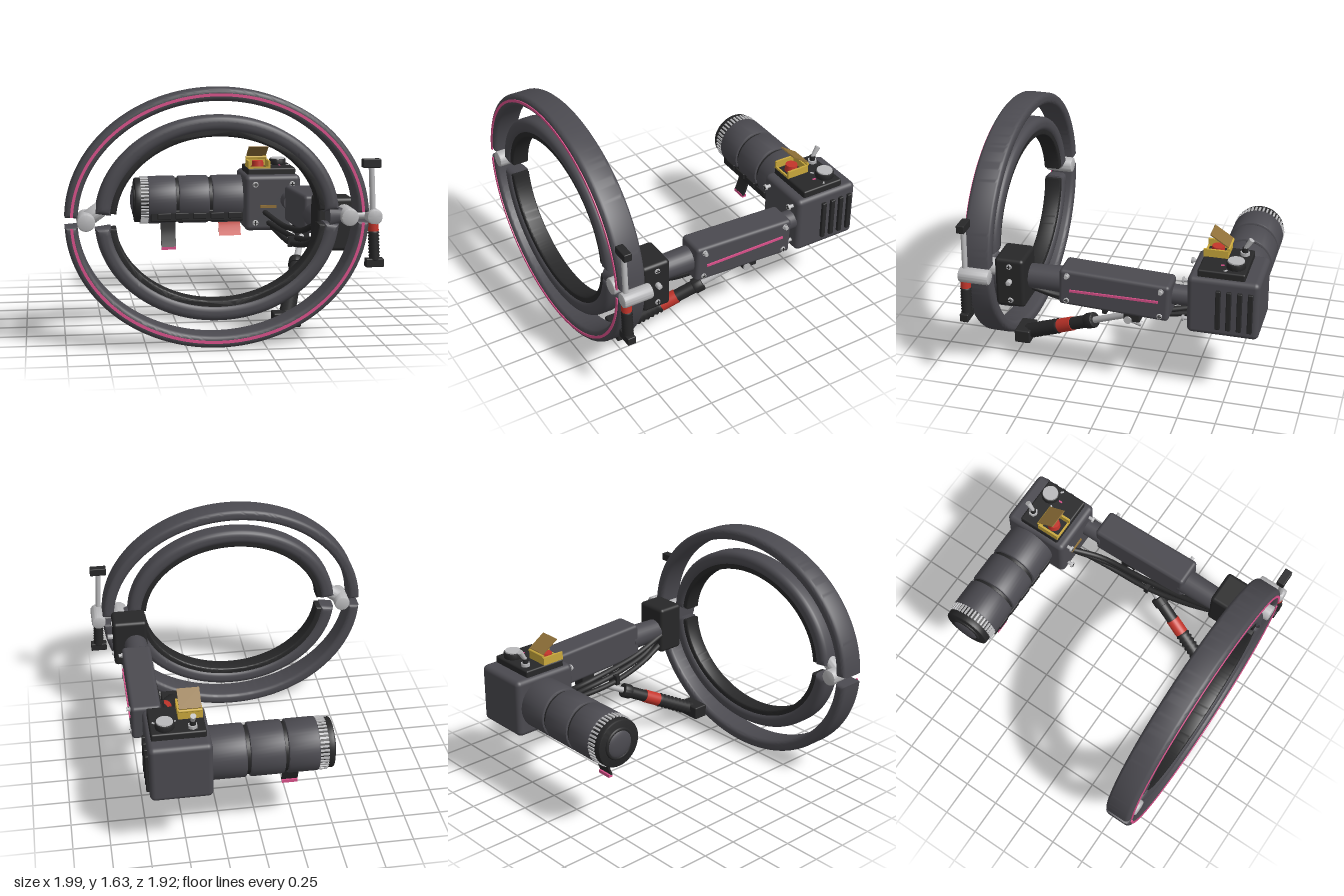
import * as THREE from 'three';
import { toCreasedNormals } from 'three/addons/utils/BufferGeometryUtils.js';
import { RoundedBoxGeometry } from 'three/addons/geometries/RoundedBoxGeometry.js';

const paint = (name, color) => {
  const m = new THREE.MeshStandardMaterial({ color });
  m.name = name;
  return m;
};
const V = (x, y, z) => new THREE.Vector3(x, y, z);

export function createModel() {
  const root = new THREE.Group();
  root.name = 'ringSteeringControl';
  const body = paint('bodyGrey', 0x4b4a50), black = paint('black', 0x272728), metal = paint('metal', 0xb9b9bb);
  const pink = paint('pink', 0xd9508a), red = paint('red', 0xc4352b), yellow = paint('yellow', 0xc9a83c);
  const brass = paint('brass', 0x8f7038);

  const add = (name, geo, mat, pos = V(0, 0, 0), parent = root) => {
    const m = new THREE.Mesh(geo, mat);
    m.name = name;
    m.position.copy(pos);
    parent.add(m);
    return m;
  };
  // Box given by its limits, optionally with rounded edges
  const box = (name, mat, [x0, x1], [y0, y1], [z0, z1], r = 0, parent = root) => {
    const s = [x1 - x0, y1 - y0, z1 - z0];
    const geo = r ? new RoundedBoxGeometry(...s, 4, r) : new THREE.BoxGeometry(...s);
    return add(name, geo, mat, V((x0 + x1) / 2, (y0 + y1) / 2, (z0 + z1) / 2), parent);
  };
  // Aim a mesh built along y from point a towards point b
  const aim = (mesh, a, b) => {
    mesh.position.copy(a).lerp(b, 0.5);
    mesh.quaternion.setFromUnitVectors(V(0, 1, 0), b.clone().sub(a).normalize());
    return mesh;
  };
  const rod = (name, mat, a, b, r0, r1 = r0, parent = root, n = 28) =>
    aim(add(name, new THREE.CylinderGeometry(r1, r0, a.distanceTo(b), n), mat, V(0, 0, 0), parent), a, b);
  // Rod with rounded rims
  const drum = (name, mat, a, b, r, e = 0.012, parent = root) => {
    const h = a.distanceTo(b) / 2;
    const pts = [[0, -h], [r - e, -h], [r - e * 0.3, -h + e * 0.3], [r, -h + e],
      [r, h - e], [r - e * 0.3, h - e * 0.3], [r - e, h], [0, h]].map(p => new THREE.Vector2(...p));
    return aim(add(name, toCreasedNormals(new THREE.LatheGeometry(pts, 48), 0.6), mat, V(0, 0, 0), parent), a, b);
  };
  // Small cross-head screw facing along dir
  const screw = (p, dir, r = 0.02, parent = root) => {
    const g = new THREE.Group();
    g.name = 'screw';
    g.position.copy(p);
    g.quaternion.setFromUnitVectors(V(0, 0, 1), dir);
    parent.add(g);
    rod('screwHead', metal, V(0, 0, -0.005), V(0, 0, 0.008), r, r * 0.85, g, 14);
    box('screwSlot', black, [-r * 0.7, r * 0.7], [-0.003, 0.003], [0.006, 0.0095], 0, g);
    box('screwSlot', black, [-0.003, 0.003], [-r * 0.7, r * 0.7], [0.006, 0.0095], 0, g);
  };

  // Half of an elliptical ring; gap is the half height left open at each side
  const cx = -0.05, cy = 0.83;
  const halfRing = (name, mat, rx, ry, t, z0, z1, bevel, gap, side) => {
    const a = Math.asin(gap / ry), b = bevel;
    const s = new THREE.Shape();
    s.absellipse(0, 0, rx - b, ry - b, a, Math.PI - a, false, 0);
    s.absellipse(0, 0, rx - t + b, ry - t + b, Math.PI - a, a, true, 0);
    s.closePath();
    let geo = new THREE.ExtrudeGeometry(s, { depth: z1 - z0 - 2 * b, bevelEnabled: b > 0,
      bevelSize: b, bevelThickness: b, bevelSegments: 5, curveSegments: 72 });
    geo = toCreasedNormals(geo, 0.7);
    const m = add(name, geo, mat, V(cx, cy, z0 + b));
    if (side < 0) {
      m.rotation.x = Math.PI;
      m.position.z = z1 - b;
    }
  };
  for (const side of [1, -1]) {
    halfRing('outerRing', body, 0.95, 0.815, 0.08, 0.765, 0.95, 0.03, 0.06, side);
    halfRing('ringStripe', pink, 0.918, 0.783, 0.018, 0.948, 0.956, 0, 0.035, side);
    halfRing('innerRing', body, 0.765, 0.645, 0.1, 0.785, 0.935, 0.04, 0.085, side);
    halfRing('innerRingLiner', black, 0.69, 0.57, 0.055, 0.80, 0.92, 0.012, 0.06, side);
  }

  // Ring hinges
  drum('leftHinge', metal, V(-0.87, 0.83, 0.755), V(-0.87, 0.83, 0.955), 0.056);
  drum('leftHingeArm', metal, V(-0.86, 0.84, 0.86), V(-0.77, 0.905, 0.86), 0.05);
  drum('rightHinge', metal, V(0.775, 0.83, 0.755), V(0.775, 0.83, 0.955), 0.056);
  rod('rightHingeArm', body, V(0.65, 0.83, 0.86), V(0.76, 0.83, 0.86), 0.08, 0.04);
  rod('sideHingeArm', metal, V(0.78, 0.83, 0.86), V(0.92, 0.83, 0.86), 0.025);
  drum('sideHinge', metal, V(0.932, 0.83, 0.755), V(0.932, 0.83, 0.96), 0.05);

  // Telescopic strut: ribbed boot, red band, collar and rod, placed by fractions
  const strut = (name, p0, p1, r, bootEnd, redEnd, collarEnd, rodR) => {
    const g = new THREE.Group();
    g.name = name;
    root.add(g);
    const at = f => p0.clone().lerp(p1, f), L = p0.distanceTo(p1) * bootEnd, pts = [];
    for (let i = 0; i <= 18; i++) pts.push(new THREE.Vector2(r * (i % 2 ? 1.12 : 0.9), -L / 2 + L * i / 18));
    aim(add('ribbedBoot', new THREE.LatheGeometry(pts, 28), black, V(0, 0, 0), g), at(0), at(bootEnd));
    rod('redBand', red, at(bootEnd), at(redEnd), r * 1.02, r * 1.02, g);
    if (collarEnd > redEnd) {
      rod('sleeve', black, at(redEnd), at(collarEnd), r * 0.92, r * 0.92, g);
      drum('collar', black, at(collarEnd - 0.07), at(collarEnd), r * 1.12, 0.006, g);
    }
    rod('slidingRod', metal, at(redEnd), at(1), rodR, rodR, g);
  };
  strut('supportStrut', V(0.42, 0.14, 0.70), V(0.67, 0.54, -0.10), 0.047, 0.33, 0.46, 0.67, 0.022);
  box('strutFoot', black, [0.325, 0.505], [0.09, 0.185], [0.66, 0.77], 0.01);
  box('strutBracket', black, [0.62, 0.72], [0.51, 0.61], [-0.18, -0.07], 0.01);
  rod('strutPin', metal, V(0.61, 0.525, -0.10), V(0.73, 0.525, -0.10), 0.026);
  rod('bracketLever', metal, V(0.67, 0.51, -0.10), V(0.67, 0.475, -0.18), 0.025, 0.018);
  strut('sideStrut', V(0.939, 0.55, 0.925), V(0.910, 1.16, 0.925), 0.033, 0.31, 0.4, 0, 0.018);
  box('sideStrutTop', black, [0.852, 0.968], [1.14, 1.195], [0.898, 0.952], 0.006);
  box('sideStrutBottom', black, [0.88, 0.995], [0.51, 0.565], [0.898, 0.955], 0.006);

  // Mounting block behind the ring
  box('mountBlock', black, [0.6, 0.842], [0.58, 0.925], [0.56, 0.757], 0.025);
  for (const y of [0.63, 0.875]) screw(V(0.842, y, 0.655), V(1, 0, 0));
  drum('blockKnob', metal, V(0.84, 0.77, 0.655), V(0.88, 0.77, 0.655), 0.018, 0.005);

  // Arm, tilted up towards the ring
  rod('frontNeck', body, V(0.685, 0.745, 0.58), V(0.685, 0.745, 0.3), 0.08, 0.088);
  rod('rearNeck', body, V(0.655, 0.725, -0.35), V(0.655, 0.725, -0.52), 0.066);
  const arm = new THREE.Group();
  arm.name = 'arm';
  arm.position.set(0.7, 0.735, -0.025);
  root.add(arm);
  arm.rotation.x = -0.045;
  box('armHousing', body, [-0.1, 0.1], [-0.127, 0.127], [-0.365, 0.365], 0.025, arm);
  for (const y of [-0.09, 0.09]) for (const z of [-0.31, 0.31]) screw(V(0.1, y, z), V(1, 0, 0), 0.02, arm);
  for (const z of [-0.31, 0.31]) rod('armKnob', metal, V(0.1, 0.09, z), V(0.125, 0.09, z), 0.013, 0.013, arm);
  box('armStripe', pink, [0.795, 0.808], [0.726, 0.742], [-0.32, 0.265]);

  // Cables slung under the arm
  const cables = [
    [V(0.68, 0.66, 0.57), V(0.64, 0.6, 0.42), V(0.6, 0.55, 0.1), V(0.58, 0.53, -0.2), V(0.5, 0.56, -0.51)],
    [V(0.64, 0.63, 0.57), V(0.61, 0.56, 0.38), V(0.57, 0.51, 0.08), V(0.56, 0.5, -0.22), V(0.53, 0.53, -0.51)],
    [V(0.62, 0.72, 0.57), V(0.6, 0.64, 0.3), V(0.58, 0.6, 0), V(0.56, 0.58, -0.3), V(0.47, 0.64, -0.51)]];
  for (const c of cables) add('cable', new THREE.TubeGeometry(new THREE.CatmullRomCurve3(c), 40, 0.02, 10), black);
  box('cableClip', black, [0.54, 0.63], [0.49, 0.56], [0.07, 0.1]);

  // Motor housing with side vents
  box('motorHousing', body, [0.33, 0.737], [0.5, 0.907], [-0.957, -0.49], 0.035);
  for (let i = 0; i < 4; i++) {
    const z = -0.695 - i * 0.069;
    box('vent', black, [0.72, 0.758], [0.56, 0.838], [z - 0.016, z + 0.016], 0.006);
  }
  for (const x of [0.4, 0.67]) for (const y of [0.565, 0.845]) {
    rod('motorScrewStem', metal, V(x, y, -0.5), V(x, y, -0.455), 0.012);
    screw(V(x, y, -0.455), V(0, 0, 1), 0.022);
  }
  box('brassPlate', brass, [0.44, 0.56], [0.67, 0.69], [-0.495, -0.48]);

  // Control console
  box('console', black, [0.357, 0.71], [0.89, 0.953], [-0.857, -0.55], 0.012);
  for (const x of [[0.362, 0.377], [0.508, 0.523]]) box('guardSide', yellow, x, [0.95, 1.005], [-0.71, -0.55]);
  for (const z of [[-0.71, -0.695], [-0.562, -0.55]]) box('guardEnd', yellow, [0.362, 0.523], [0.95, z[0] < -0.6 ? 1.005 : 0.965], z);
  rod('redButton', red, V(0.442, 0.95, -0.63), V(0.442, 1.0, -0.63), 0.045, 0.04);
  const lid = box('guardLid', brass, [0.37, 0.515], [1.064, 1.072], [-0.722, -0.578]);
  lid.rotation.x = -0.58;
  rod('lidHinge', yellow, V(0.365, 1.015, -0.71), V(0.52, 1.015, -0.71), 0.01);
  drum('dial', black, V(0.615, 0.95, -0.78), V(0.615, 0.995, -0.78), 0.062, 0.006);
  rod('dialCap', metal, V(0.615, 0.99, -0.78), V(0.615, 1.003, -0.78), 0.056, 0.053);
  for (const a of [-0.9, 0, 0.9]) {
    const tick = box('dialTick', a ? metal : pink, [-0.006, 0.006], [0.95, 0.957], [-0.012, 0.012]);
    tick.position.set(0.615 + Math.sin(a) * 0.085, 0.953, -0.78 + Math.cos(a) * 0.085);
    tick.rotation.y = a;
  }
  rod('switchNut', metal, V(0.44, 0.95, -0.805), V(0.44, 0.975, -0.805), 0.032, 0.032, root, 6);
  rod('switchCollar', black, V(0.44, 0.97, -0.805), V(0.44, 1.005, -0.805), 0.02);
  rod('switchLever', metal, V(0.44, 0.99, -0.8), V(0.44, 1.065, -0.845), 0.012, 0.019);

  // Grip: three drums over a dark core
  const gy = 0.705, gz = -0.755, P = x => V(x, gy, gz);
  rod('gripCore', black, P(-0.4), P(0.36), 0.16, 0.16, root, 48);
  for (const [a, b] of [[-0.365, -0.16], [-0.14, 0.085], [0.107, 0.36]]) drum('gripSection', body, P(a), P(b), 0.176);
  rod('toothedRing', black, P(-0.42), P(-0.36), 0.166, 0.166, root, 48);
  for (let i = 0; i < 40; i++) {
    const a = i / 40 * Math.PI * 2;
    const tooth = box('ringTooth', metal, [-0.42, -0.362], [0, 0.02], [0, 0.013]);
    tooth.position.set(-0.391, gy + Math.cos(a) * 0.165, gz + Math.sin(a) * 0.165);
    tooth.rotation.x = a;
  }
  drum('endCap', black, P(-0.463), P(-0.41), 0.165, 0.01);
  const dome = add('endDome', new THREE.SphereGeometry(0.1, 32, 12, 0, Math.PI * 2, 0, Math.PI / 2), body, P(-0.46));
  dome.rotation.z = Math.PI / 2;
  dome.scale.y = 0.3;
  add('endDomeRim', new THREE.TorusGeometry(0.1, 0.012, 10, 40), black, P(-0.463)).rotation.y = Math.PI / 2;

  // Rail below the grip, with clips
  box('gripRail', black, [-0.35, 0.335], [0.56, 0.645], [-0.72, -0.6], 0.01);
  for (let i = 0; i < 5; i++) box('railClip', black, [-0.3 + i * 0.13, -0.2 + i * 0.13], [0.58, 0.625], [-0.61, -0.59], 0.006);

  // Curved levers hanging below the grip: a strip extruded across x
  const lever = (name, mat, x0, x1, pts) => {
    const s = new THREE.Shape(new THREE.SplineCurve(pts.map(p => new THREE.Vector2(-p[0], p[1]))).getPoints(12));
    const back = pts.map(p => new THREE.Vector2(-p[0] + 0.016, p[1])).reverse();
    new THREE.SplineCurve(back).getPoints(12).forEach(p => s.lineTo(p.x, p.y));
    const geo = new THREE.ExtrudeGeometry(s, { depth: x1 - x0, bevelEnabled: false });
    add(name, toCreasedNormals(geo, 0.6), mat, V(x0, 0, 0)).rotation.y = Math.PI / 2;
  };
  lever('hangingLever', black, -0.268, -0.16, [[-0.7, 0.57], [-0.69, 0.48], [-0.67, 0.41], [-0.65, 0.36]]);
  box('leverTip', pink, [-0.266, -0.162], [0.345, 0.366], [-0.682, -0.65]);
  lever('trigger', red, 0.163, 0.325, [[-0.72, 0.57], [-0.708, 0.52], [-0.685, 0.47], [-0.665, 0.44]]);
  return root;
}
